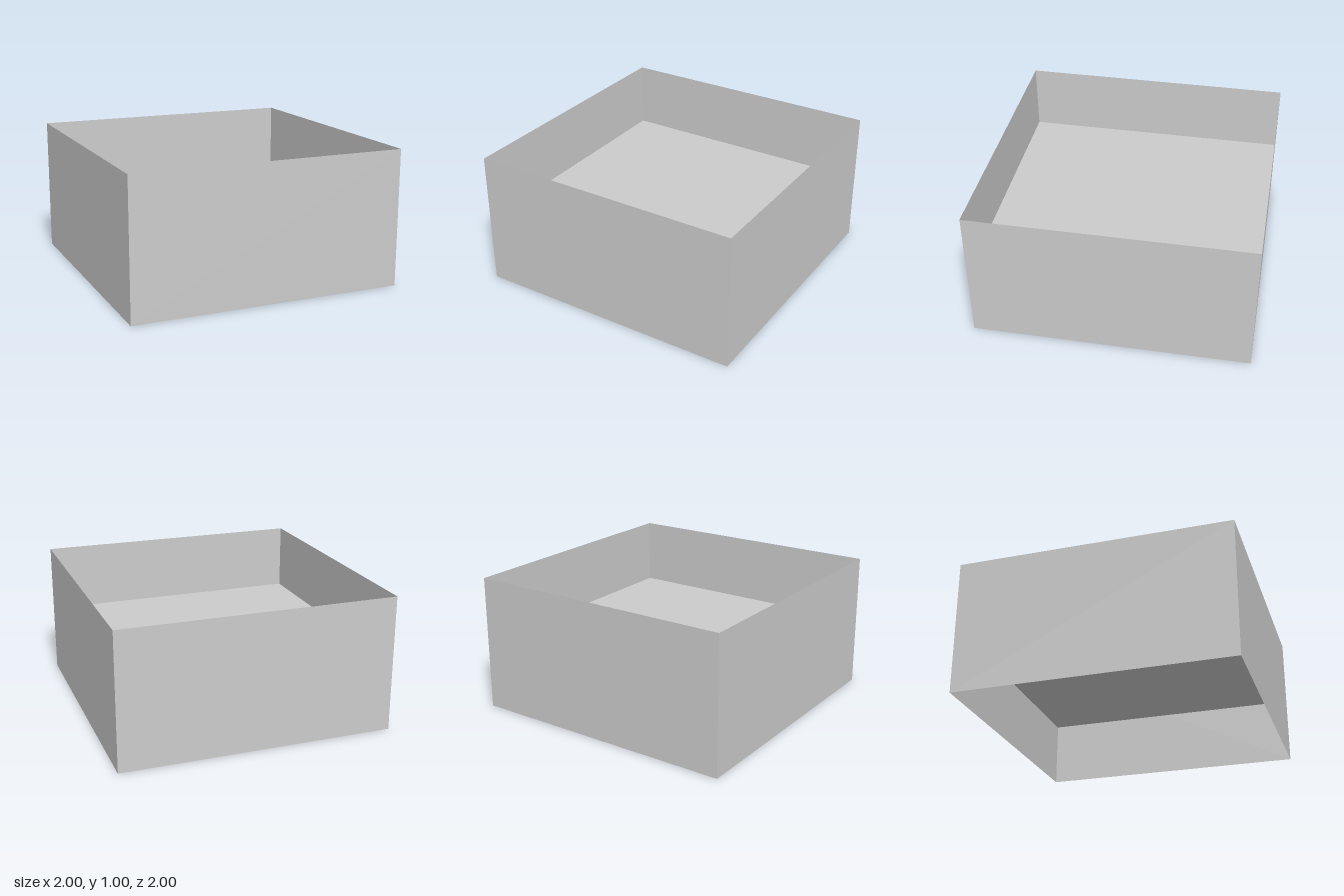
import * as THREE from 'three';

export function createModel() {
  const group = new THREE.Group();
  group.name = 'openTray';
  const material = new THREE.MeshStandardMaterial({
    color: 0xcccccc, flatShading: true, side: THREE.DoubleSide,
  });

  // Four thin walls, each turned to face outward
  const wallGeometry = new THREE.PlaneGeometry(2, 1).translate(0, 0.5, 1);
  ['frontWall', 'leftWall', 'backWall', 'rightWall'].forEach((name, i) => {
    const wall = new THREE.Mesh(wallGeometry, material);
    wall.name = name;
    wall.rotation.y = i * Math.PI / 2;
    group.add(wall);
  });

  // Floor sheet halfway up, leaving the tray open above and below
  const floor = new THREE.Mesh(new THREE.PlaneGeometry(2, 2).rotateX(-Math.PI / 2), material);
  floor.name = 'floor';
  floor.position.y = 0.5;
  group.add(floor);

  return group;
}
